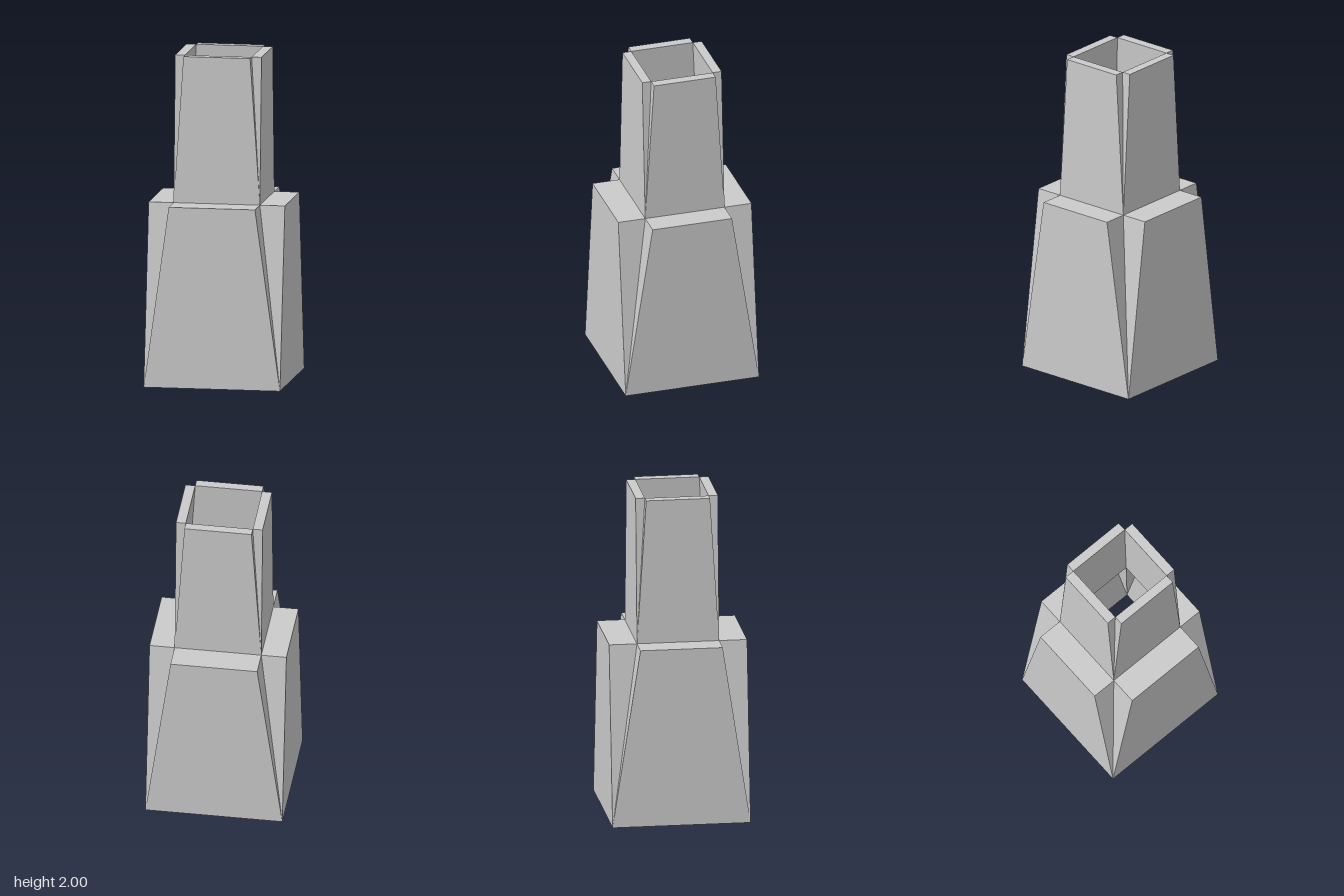
import * as THREE from 'three';

const material = new THREE.MeshStandardMaterial({
  color: 0xcccccc, flatShading: true, side: THREE.DoubleSide,
});

// Upright wedge panel facing +z: w = half width, d = distance from the axis,
// tw and td = the same for the inner edge at the top.
function wedgePanel(y0, y1, w, d, tw, td, backed) {
  const A = [-w, y0, d], B = [w, y0, d];
  const C = [tw, y1, d], D = [-tw, y1, d];
  const E = [tw, y1, td], F = [-tw, y1, td];
  const faces = [
    A, B, C, A, C, D, // outer face
    D, C, E, D, E, F, // top ledge
    B, E, C, A, D, F, // notch sides
  ];
  if (backed) faces.push(B, A, F, B, F, E); // sloping inner wall
  const geometry = new THREE.BufferGeometry();
  geometry.setAttribute('position', new THREE.Float32BufferAttribute(faces.flat(), 3));
  geometry.computeVertexNormals();
  return geometry;
}

// Four wedge panels around the axis, touching at the foot and parting at the corners.
function tier(name, y0, y1, base, top, backed) {
  const group = new THREE.Group();
  group.name = name;
  ['front', 'left', 'back', 'right'].forEach((side, k) => {
    const [i, j] = k % 2 ? [1, 0] : [0, 1];
    const panel = new THREE.Mesh(
      wedgePanel(y0, y1, base[i], base[j], top[i], top[j], backed), material);
    panel.name = side + 'Panel';
    panel.rotation.y = k * Math.PI / 2;
    group.add(panel);
  });
  return group;
}

export function createModel() {
  const model = new THREE.Group();
  model.name = 'tieredChimney';
  const foot = [0.417, 0.42], waist = [0.264, 0.25], rim = [0.204, 0.194];
  model.add(tier('lowerTier', 0, 1.105, foot, waist, false));
  model.add(tier('upperTier', 1.105, 2, waist, rim, true));
  return model;
}
